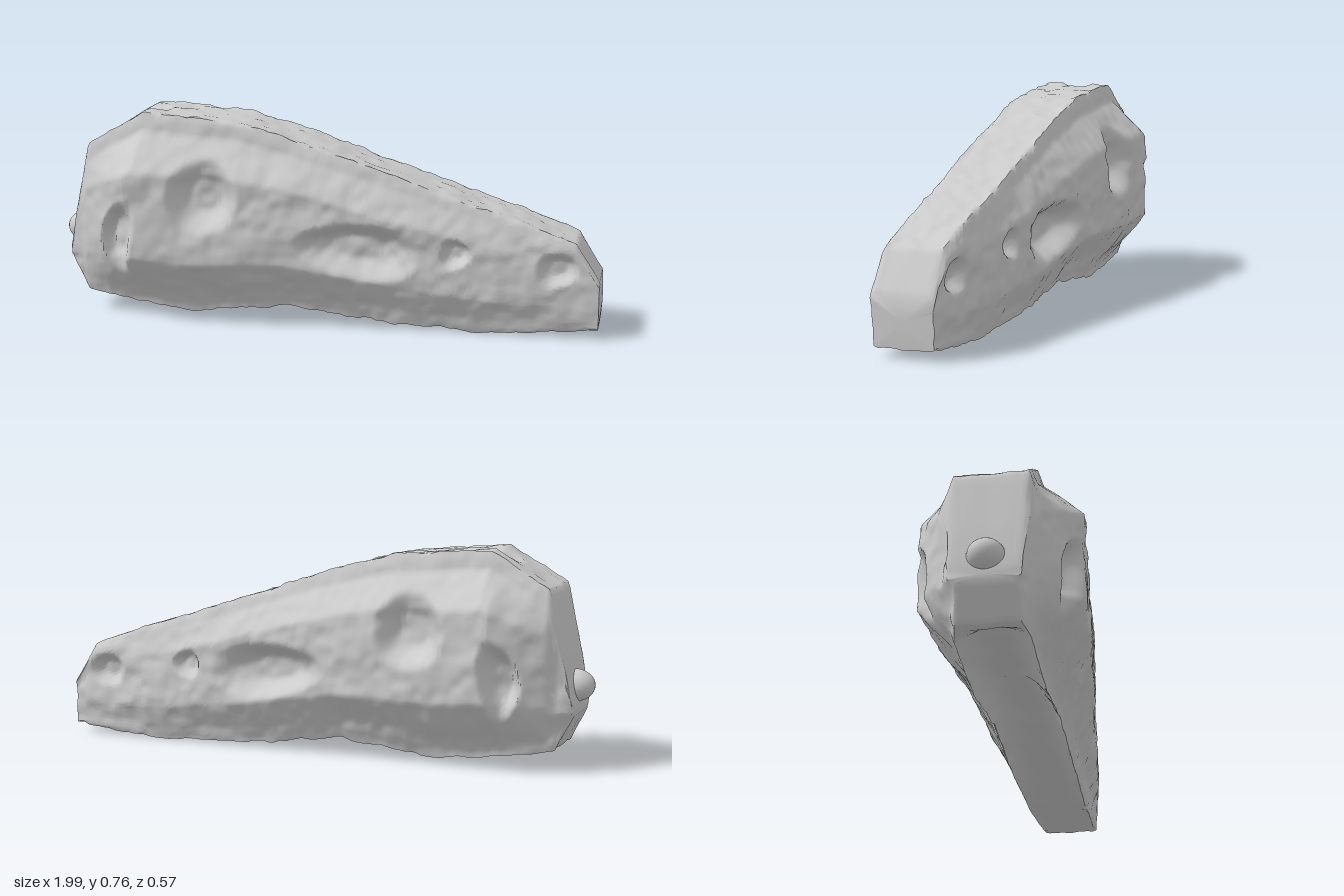
import * as THREE from 'three';
import { toCreasedNormals } from 'three/addons/utils/BufferGeometryUtils.js';

// Outline curves along the length: [x, value]
const TOP = [[-0.95, 0.25], [-0.925, 0.39], [-0.87, 0.63], [-0.66, 0.76], [-0.29, 0.73], [0, 0.646],
  [0.5, 0.482], [0.72, 0.414], [0.9, 0.35], [0.985, 0.215]];
const BOTTOM = [[-0.95, 0.2], [-0.89, 0.08], [-0.7, 0.05], [-0.5, 0.027], [-0.32, 0.042], [-0.12, 0.068],
  [0.2, 0.03], [0.6, 0.008], [0.985, 0.04]];
const CHEEK = [[-0.95, 0.12], [-0.9, 0.14], [-0.87, 0.17], [-0.79, 0.222], [-0.69, 0.28], [-0.4, 0.262],
  [0, 0.222], [0.6, 0.157], [0.985, 0.108]];
const ROOF = [[-0.95, 0.11], [-0.87, 0.132], [0.5, 0.117], [0.985, 0.103]];
const JAW = [[-0.95, 0.1], [-0.8, 0.13], [0.3, 0.122], [0.985, 0.106]];
const PALATE = [[-0.86, 0], [-0.76, 0.07], [-0.3, 0.08], [0.2, 0.045], [0.6, 0.014], [0.985, 0]];

// Openings sunk into each side
const PITS = [
  { x: -0.41, y: 0.485, rx: 0.13, ry: 0.135, depth: 0.085, taper: 0, tilt: 0 },
  { x: -0.73, y: 0.33, rx: 0.066, ry: 0.135, depth: 0.075, taper: 0.3, tilt: -0.15 },
  { x: 0.135, y: 0.308, rx: 0.225, ry: 0.1, depth: 0.075, taper: 0.25, tilt: -0.1 },
  { x: 0.485, y: 0.305, rx: 0.058, ry: 0.054, depth: 0.045, taper: -0.3, tilt: 0 },
  { x: 0.84, y: 0.258, rx: 0.078, ry: 0.064, depth: 0.045, taper: -0.15, tilt: 0 },
];

function at(curve, x) {
  if (x <= curve[0][0]) return curve[0][1];
  for (let i = 1; i < curve.length; i++) {
    const [x0, v0] = curve[i - 1], [x1, v1] = curve[i];
    if (x <= x1) return v0 + (v1 - v0) * (x - x0) / (x1 - x0);
  }
  return curve[curve.length - 1][1];
}

// Seeded value noise, for the irregular lumps of weathered bone
function hash(i, j, s) {
  const h = Math.sin(i * 127.1 + j * 311.7 + s * 74.7) * 43758.5453;
  return (h - Math.floor(h)) * 2 - 1;
}
function noise(a, b, s) {
  const i = Math.floor(a), j = Math.floor(b);
  const u = THREE.MathUtils.smoothstep(a - i, 0, 1), v = THREE.MathUtils.smoothstep(b - j, 0, 1);
  const lerp = THREE.MathUtils.lerp;
  return lerp(lerp(hash(i, j, s), hash(i + 1, j, s), u), lerp(hash(i, j + 1, s), hash(i + 1, j + 1, s), u), v);
}
const lump = (a, b, s) => 0.005 * noise(a * 11, b * 13, s) + 0.003 * noise(a * 27, b * 29, s + 7);

function pitDepth(x, y) {
  let sum = 0;
  for (const p of PITS) {
    const c = Math.cos(p.tilt), s = Math.sin(p.tilt);
    const u = ((x - p.x) * c + (y - p.y) * s) / p.rx;
    if (Math.abs(u) > 1.2) continue;
    const v = ((y - p.y) * c - (x - p.x) * s) / (p.ry * (1 + p.taper * u));
    const d = Math.pow(Math.abs(u) ** 2.3 + Math.abs(v) ** 2.3, 1 / 2.3);
    sum += p.depth * (1 - THREE.MathUtils.smoothstep(d, 0.35, 1.04));
  }
  return sum;
}

const SIDE = 56, FLAT = 16;

// One cross-section: underside, left side, roof, right side
function section(x) {
  const top = at(TOP, x), bot = at(BOTTOM, x), cheek = at(CHEEK, x), roof = at(ROOF, x), jaw = at(JAW, x);
  const flare = cheek - jaw;
  const profile = [[0, jaw - 0.006], [0.03, jaw], [0.1, jaw + flare * 0.22], [0.19, jaw + flare * 0.6],
    [0.29, cheek], [0.5, cheek], [0.74, cheek * 0.98], [0.91, roof + 0.01], [0.97, roof], [1, roof - 0.008]];
  const ring = [];
  const side = (t, sign) => {
    const y = bot + (top - bot) * t;
    const edge = Math.min(1, 8 * t, 8 * (1 - t));
    const z = at(profile, t) - pitDepth(x, y) + (0.4 + edge) * lump(x, y, sign);
    return [x, y + (1 - edge) * lump(x * 1.7, t, sign), sign * z];
  };
  for (let j = 0; j < FLAT; j++) {
    const k = -1 + 2 * j / FLAT;
    const y = bot + at(PALATE, x) * (1 - Math.abs(k) ** 2.5) + (j ? lump(x, k * jaw, 5) : lump(x * 1.7, 0, -1));
    ring.push([x, y, k * (jaw - 0.006)]);
  }
  for (let j = 0; j < SIDE; j++) ring.push(side(j / SIDE, 1));
  for (let j = 0; j < FLAT; j++) {
    const k = 1 - 2 * j / FLAT;
    // shallow dent on the rear of the roof
    const dent = 0.02 * Math.max(0, 1 - ((x + 0.66) / 0.08) ** 2 - (k / 0.5) ** 2);
    ring.push([x, top - dent + (j ? lump(x, k * roof, 8) : lump(x * 1.7, 1, 1)), k * (roof - 0.008)]);
  }
  for (let j = 0; j < SIDE; j++) ring.push(side(1 - j / SIDE, -1));
  return ring;
}

function loft(rings) {
  const m = rings[0].length, index = [];
  for (let i = 0; i < rings.length - 1; i++) {
    for (let j = 0; j < m; j++) {
      const a = i * m + j, b = i * m + (j + 1) % m;
      index.push(a, a + m, b + m, a, b + m, b);
    }
  }
  const g = new THREE.BufferGeometry();
  g.setAttribute('position', new THREE.Float32BufferAttribute(rings.flat(2), 3));
  g.setIndex(index);
  return toCreasedNormals(g, 1.0);
}

export function createModel() {
  const group = new THREE.Group();
  group.name = 'dinosaurSkull';
  const bone = new THREE.MeshStandardMaterial({ color: 0xcccccc });

  // Skull body, closed at the back and at the snout tip
  const x0 = -0.95, x1 = 0.985, steps = 230, rings = [];
  for (let i = 0; i <= steps; i++) rings.push(section(x0 + (x1 - x0) * i / steps));
  const cap = (x, y) => rings[0].map(() => [x, y, 0]);
  rings.unshift(cap(x0, 0.225));
  rings.push(cap(x1 + 0.008, 0.13));
  const skull = new THREE.Mesh(loft(rings), bone);
  skull.name = 'skull';
  group.add(skull);

  // Rounded neck joint at the back
  const joint = new THREE.Mesh(new THREE.SphereGeometry(0.06, 24, 16), bone);
  joint.name = 'neckJoint';
  joint.scale.set(1.2, 0.95, 1.05);
  joint.position.set(-0.928, 0.295, 0);
  group.add(joint);

  return group;
}
